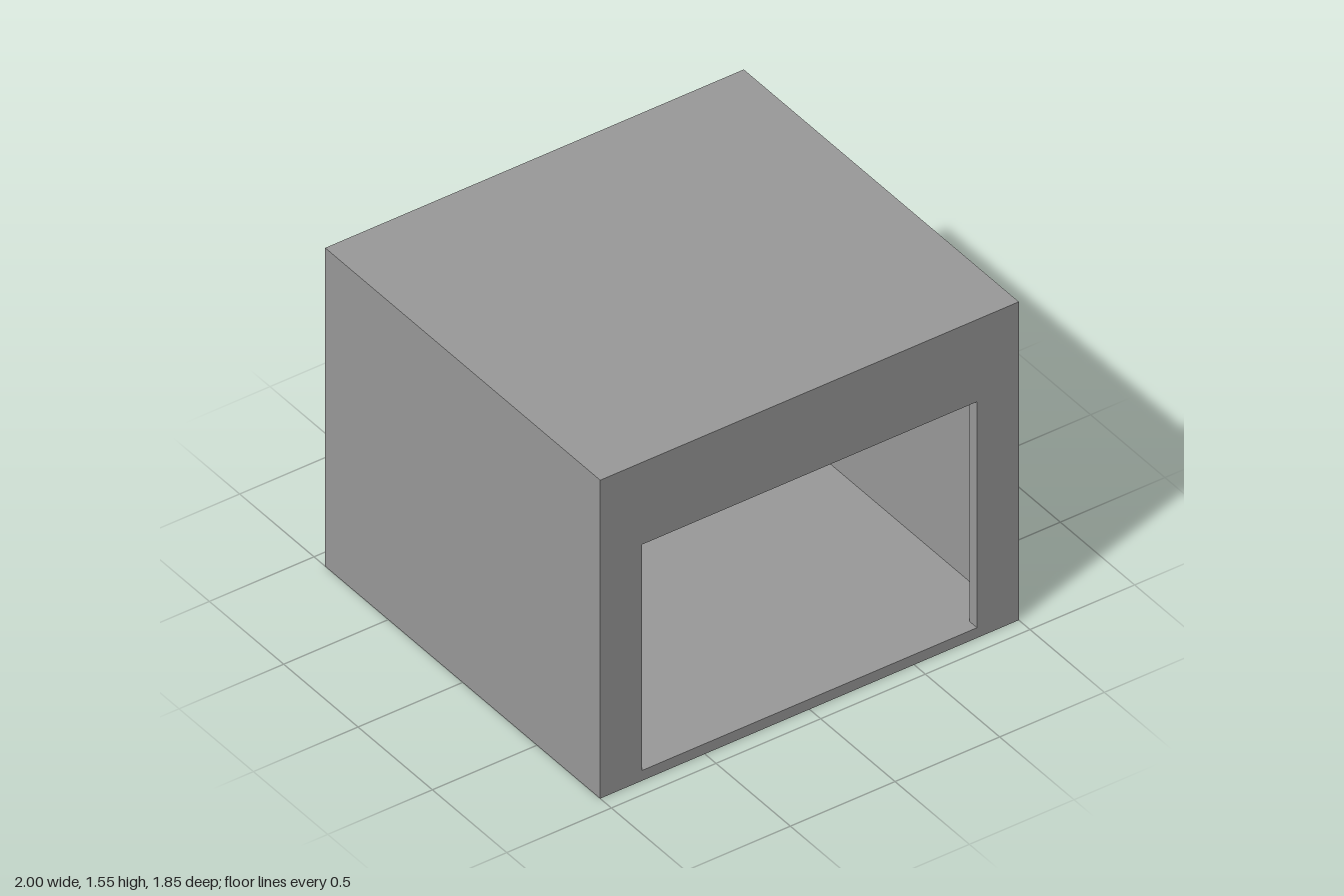
import * as THREE from 'three';

// One closed shell: rectangular rings (half width, bottom, top, z) joined in a loop.
function shellGeometry(rings) {
  const corners = ([w, lo, hi, z]) => [[-w, lo, z], [w, lo, z], [w, hi, z], [-w, hi, z]];
  const positions = [];
  rings.forEach((ring, i) => {
    const a = corners(ring);
    const b = corners(rings[(i + 1) % rings.length]);
    for (let k = 0; k < 4; k++) {
      const n = (k + 1) % 4;
      // Skip the flush step between sill and floor, which has no area
      if (a[k][1] === b[k][1] && a[n][1] === b[n][1] && a[k][1] === a[n][1] && a[k][2] === b[k][2]) continue;
      positions.push(...a[k], ...a[n], ...b[n], ...a[k], ...b[n], ...b[k]);
    }
  });
  const geometry = new THREE.BufferGeometry();
  geometry.setAttribute('position', new THREE.Float32BufferAttribute(positions, 3));
  geometry.computeVertexNormals();
  return geometry;
}

export function createModel() {
  const group = new THREE.Group();
  group.name = 'openHousing';

  const grey = new THREE.MeshStandardMaterial({ color: 0x999999 });
  grey.name = 'grey';

  const wall = 0.05, height = 1.55, end = 0.925;
  const outer = [1, 0, height];
  const opening = [0.8, wall, 1.15];
  const room = [1 - wall, wall, height - wall];

  // Front face, opening edge, hollow room, then the same at the back
  const shell = new THREE.Mesh(shellGeometry([
    [...outer, end],
    [...opening, end],
    [...opening, end - wall],
    [...room, end - wall],
    [...room, wall - end],
    [...opening, wall - end],
    [...opening, -end],
    [...outer, -end],
  ]), grey);
  shell.name = 'housingShell';
  group.add(shell);

  return group;
}
